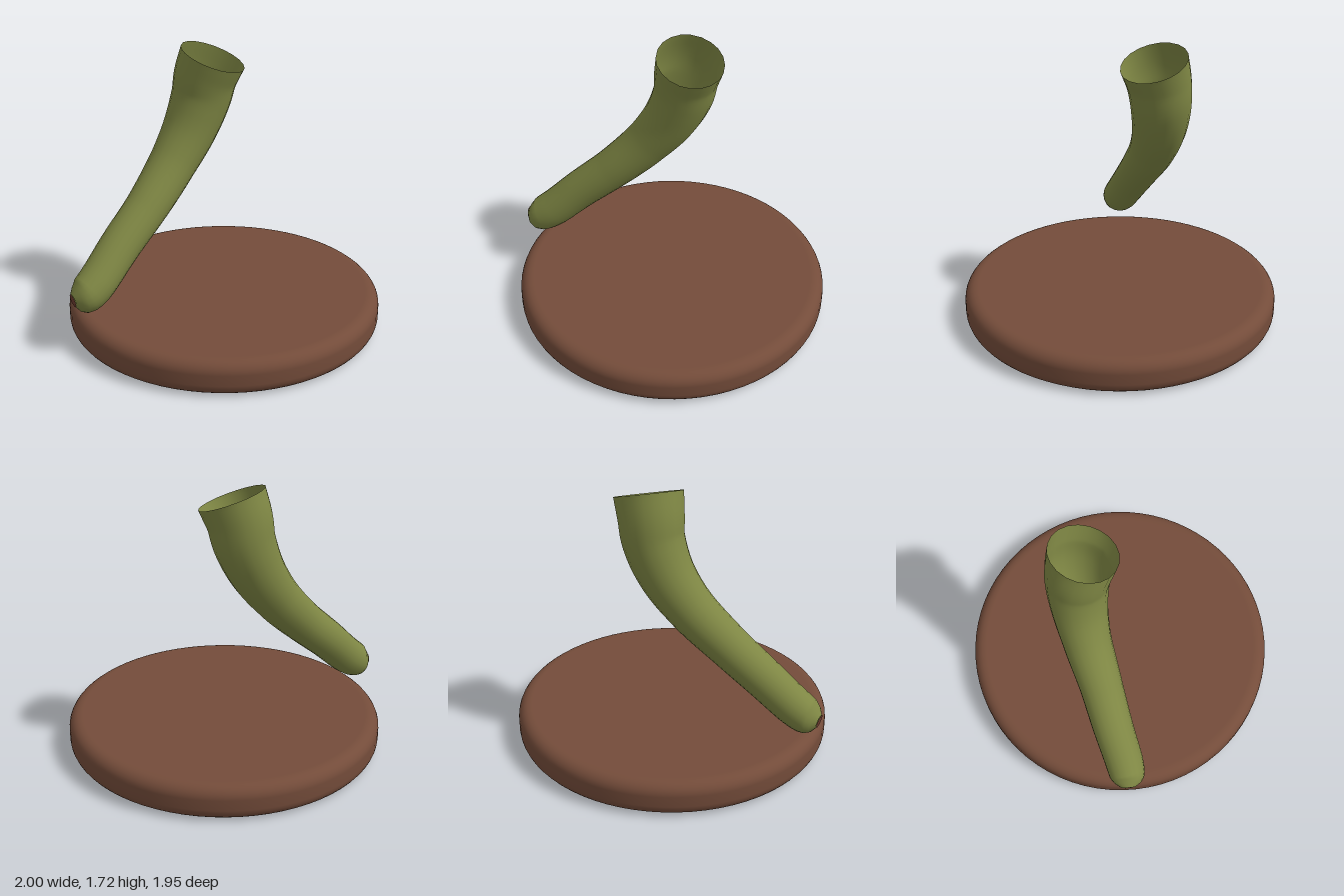
import * as THREE from 'three';
import { mergeVertices } from 'three/addons/utils/BufferGeometryUtils.js';

const flat = (name, color, side = THREE.FrontSide) => {
  const m = new THREE.MeshStandardMaterial({ color, side });
  m.name = name;
  return m;
};

// Piecewise linear lookup in a list of [u, value] pairs
function lookup(table, u) {
  for (let i = 1; i < table.length; i++) {
    const [u0, a] = table[i - 1], [u1, b] = table[i];
    if (u <= u1) return a + (b - a) * (u - u0) / (u1 - u0);
  }
  return table[table.length - 1][1];
}

// Open tube whose radius varies along the curve
function taperedTube(curve, radii, segments, sides) {
  const geo = new THREE.TubeGeometry(curve, segments, 1, sides, false);
  const pos = geo.attributes.position, v = new THREE.Vector3();
  for (let i = 0; i <= segments; i++) {
    const centre = curve.getPointAt(i / segments);
    const r = lookup(radii, i / segments);
    for (let j = 0; j <= sides; j++) {
      const k = i * (sides + 1) + j;
      v.fromBufferAttribute(pos, k).sub(centre).multiplyScalar(r).add(centre);
      pos.setXYZ(k, v.x, v.y, v.z);
    }
  }
  geo.deleteAttribute('uv');
  geo.deleteAttribute('normal');
  const merged = mergeVertices(geo, 1e-5);
  merged.computeVertexNormals();
  return merged;
}

export function createModel() {
  const model = new THREE.Group();
  const brown = flat('brown wood', 0x744c3a);
  const green = flat('olive green', 0x7f8744, THREE.DoubleSide);
  const russet = flat('russet', 0x6e3c30, THREE.DoubleSide);

  const add = (name, geo, mat) => {
    const mesh = new THREE.Mesh(geo, mat);
    mesh.name = name;
    model.add(mesh);
    return mesh;
  };

  // Round base with softly rounded edges
  const R = 0.975, H = 0.216, b = 0.075;
  const profile = [new THREE.Vector2(0, 0), new THREE.Vector2(R - b - 0.01, 0)];
  for (const [cy, start] of [[b, -Math.PI / 2], [H - b, 0]]) {
    for (let i = 0; i <= 6; i++) {
      const a = start + (i / 6) * Math.PI / 2;
      profile.push(new THREE.Vector2(R - b + b * Math.cos(a), cy + b * Math.sin(a)));
    }
  }
  profile.push(new THREE.Vector2(R - b - 0.01, H), new THREE.Vector2(0, H));
  add('base', new THREE.LatheGeometry(profile, 72), brown).position.x = 0.023;

  // Curved hollow stem, from the rounded lower tip to the flared open rim
  const curve = new THREE.CatmullRomCurve3([
    [-0.985, 0.36, 0.12], [-0.91, 0.375, 0.108], [-0.84, 0.42, 0.085],
    [-0.655, 0.6, 0], [-0.44, 0.8, -0.09], [-0.255, 1.0, -0.175],
    [-0.115, 1.2, -0.225], [-0.03, 1.4, -0.238], [-0.005, 1.53, -0.226],
    [0.032, 1.65, -0.2],
  ].map((p) => new THREE.Vector3(...p)));
  const radii = [
    [0, 0.04], [0.016, 0.082], [0.032, 0.103], [0.05, 0.113], [0.1, 0.119],
    [0.2, 0.122], [0.4, 0.13], [0.6, 0.147], [0.8, 0.178], [0.92, 0.193], [1, 0.204],
  ];
  add('stem', taperedTube(curve, radii, 64, 20), green);

  // Small cap closing the lower tip
  const cap = add('tipCap', new THREE.CircleGeometry(0.041, 20), russet);
  const out = curve.getTangentAt(0).negate();
  cap.position.copy(curve.getPointAt(0)).addScaledVector(out, 0.002);
  cap.quaternion.setFromUnitVectors(new THREE.Vector3(0, 0, 1), out);

  return model;
}
